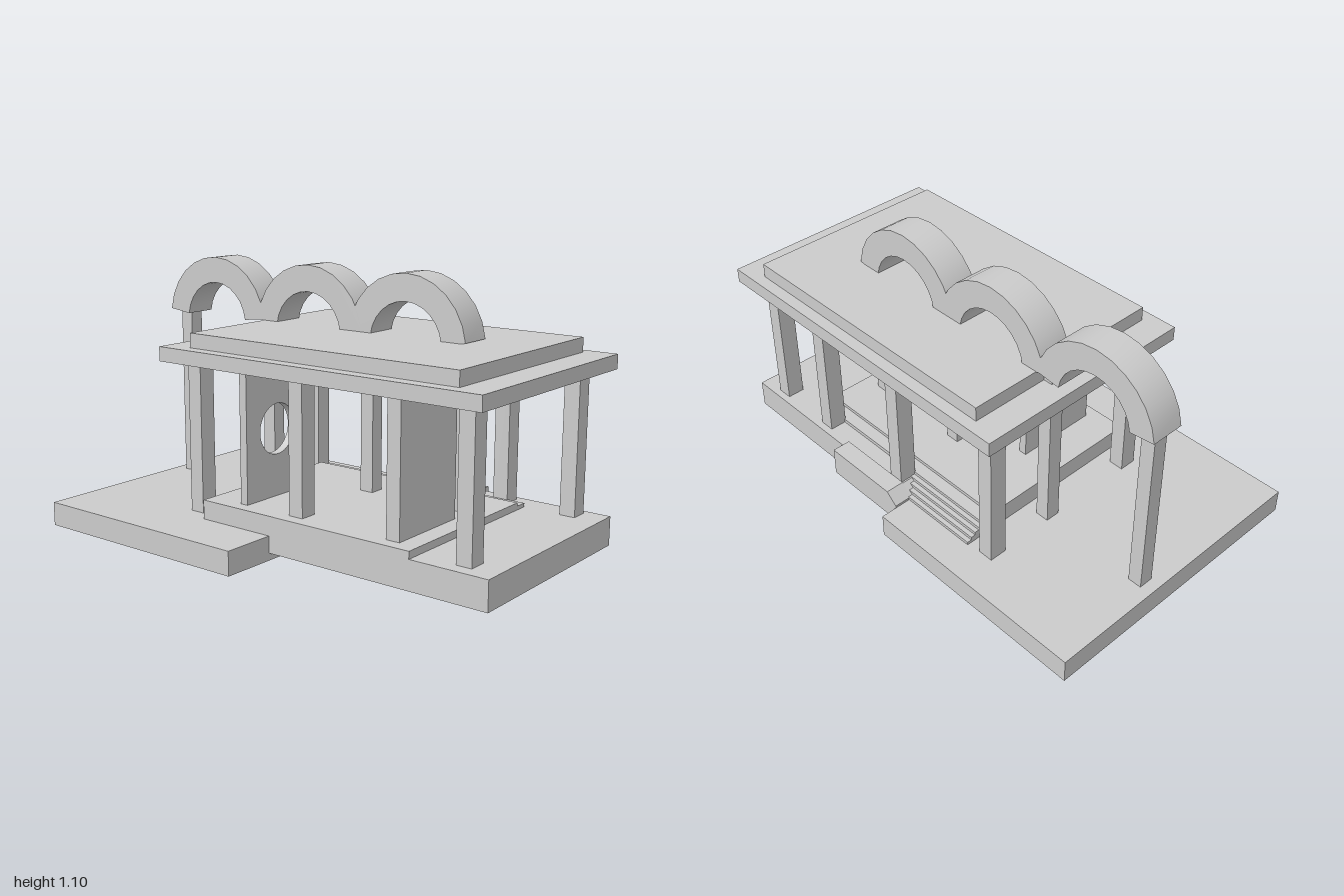
import * as THREE from 'three';
import { toCreasedNormals } from 'three/addons/utils/BufferGeometryUtils.js';

const material = new THREE.MeshStandardMaterial({ color: 0xcccccc });

export function createModel() {
  const model = new THREE.Group();

  function add(name, geometry) {
    const mesh = new THREE.Mesh(geometry, material);
    mesh.name = name;
    model.add(mesh);
  }

  // Box given by its limits on each axis
  function box(name, x0, x1, y0, y1, z0, z1) {
    const g = new THREE.BoxGeometry(x1 - x0, y1 - y0, z1 - z0);
    add(name, g.translate((x0 + x1) / 2, (y0 + y1) / 2, (z0 + z1) / 2));
  }

  // Side profile drawn as (z, y), extruded from x0 to x1
  function sideProfile(shape, x0, x1) {
    const g = new THREE.ExtrudeGeometry(shape, { depth: x1 - x0, bevelEnabled: false });
    return g.rotateY(-Math.PI / 2).translate(x1, 0, 0);
  }

  // Plinth with a sloping back end
  function plinth(name, x0, x1, top, front) {
    const points = [[0.01, 0.03], [front, 0.03], [front, top], [0.06, top], [0.01, 0.11]];
    const shape = new THREE.Shape(points.map(([z, y]) => new THREE.Vector2(z, y)));
    add(name, sideProfile(shape, x0, x1));
  }

  // Bases
  box('rearTerrace', -0.63, 0.63, 0, 0.1, -1, 0.01);
  plinth('frontPlinth', -0.4, 0.51, 0.15, 1);
  plinth('sideLanding', 0.48, 0.56, 0.155, 0.41);
  box('raisedFloor', -0.4, 0.355, 0.08, 0.18, -0.34, 0.67);

  // Shallow steps down the side of the raised floor
  const treadEdges = [0.41, 0.43, 0.45, 0.47, 0.49];
  treadEdges.forEach((edge, i) => {
    const previous = i ? treadEdges[i - 1] : 0.355;
    box('step', previous, edge, 0.08, 0.166 - i * 0.0132, -0.34, i ? 0.1 : 0.67);
  });

  // Roof slabs
  box('roofSlab', -0.43, 0.56, 0.73, 0.79, -0.54, 0.975);
  box('upperRoofSlab', -0.375, 0.51, 0.79, 0.85, -0.42, 0.85);

  // Outer columns; a wall takes the place of one on the -x side
  for (const z of [0.865, 0.56, 0.1, -0.43]) {
    const foot = z < 0 ? 0.1 : 0.15;
    box('rightColumn', 0.405, 0.48, foot, 0.73, z - 0.033, z + 0.033);
    if (z !== 0.56) box('leftColumn', -0.345, -0.27, foot, 0.73, z - 0.033, z + 0.033);
  }

  // Inner columns below the arches
  for (const z of [0.56, 0.1, -0.43, -0.92]) {
    const outside = z < 0;
    box('archColumn', 0.107, 0.17, outside ? 0.1 : 0.18, outside ? 0.85 : 0.73, z - 0.03, z + 0.03);
  }

  // Front wall and rear panel with a round opening
  box('frontWall', -0.345, 0.02, 0.15, 0.73, 0.53, 0.59);
  const panel = new THREE.Shape([[-0.345, 0.18], [0.02, 0.18], [0.02, 0.73], [-0.345, 0.73]]
    .map(([x, y]) => new THREE.Vector2(x, y)));
  panel.holes.push(new THREE.Path().absarc(-0.16, 0.46, 0.105, 0, Math.PI * 2, true));
  const panelGeometry = new THREE.ExtrudeGeometry(panel, { depth: 0.035, bevelEnabled: false, curveSegments: 24 });
  add('roundWindowPanel', toCreasedNormals(panelGeometry.translate(0, 0, -0.185), 0.5));

  // Three overlapping arches along the roof
  const cut = 0.12, segments = 12;
  for (const z of [0.31, -0.18, -0.7]) {
    const points = [];
    for (const [radius, reverse] of [[0.28, false], [0.17, true]]) {
      for (let i = 0; i <= segments; i++) {
        const t = (reverse ? segments - i : i) / segments;
        const a = cut + t * (Math.PI - 2 * cut);
        points.push(new THREE.Vector2(z + radius * Math.cos(a), 0.82 + radius * Math.sin(a)));
      }
    }
    add('arch', toCreasedNormals(sideProfile(new THREE.Shape(points), 0.07, 0.212), 0.6));
  }

  return model;
}
